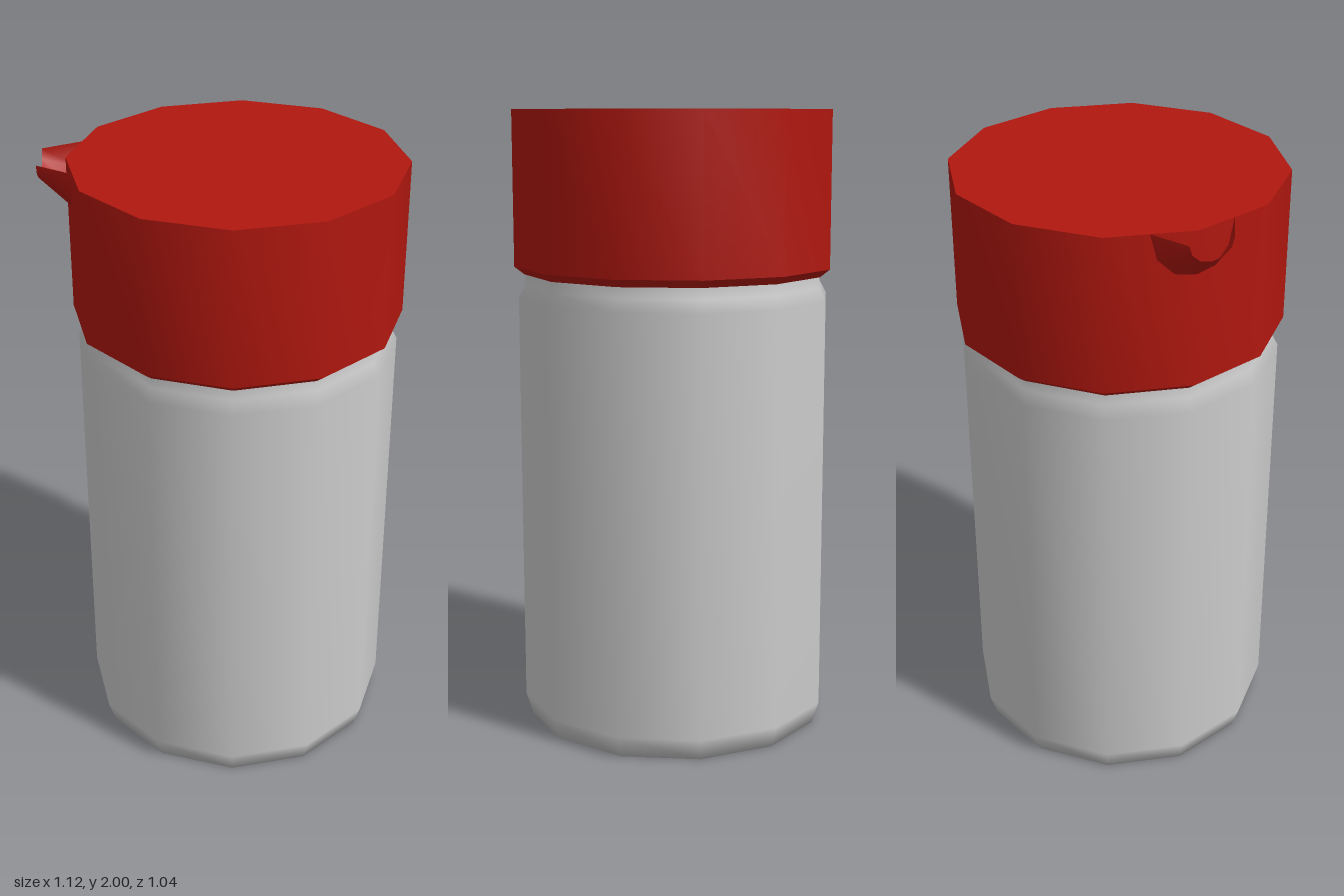
import * as THREE from 'three';
import { toCreasedNormals } from 'three/addons/utils/BufferGeometryUtils.js';
import { ParametricGeometry } from 'three/addons/geometries/ParametricGeometry.js';

const SIDES = 12;
const AXIS_X = 0.04; // the jar sits off centre to balance the spout

const lathe = (profile) =>
  new THREE.LatheGeometry(profile.map(([r, y]) => new THREE.Vector2(r, y)), SIDES);

export function createModel() {
  const group = new THREE.Group();
  group.name = 'shakerJar';
  const grey = new THREE.MeshStandardMaterial({ color: 0xcccccc });
  const red = new THREE.MeshStandardMaterial({ color: 0xb0170f });
  const redThin = new THREE.MeshStandardMaterial({ color: 0xb0170f, side: THREE.DoubleSide });

  const add = (name, geometry, material, x = 0) => {
    const mesh = new THREE.Mesh(geometry, material);
    mesh.name = name;
    mesh.position.x = x;
    group.add(mesh);
  };

  // Smooth body with bevelled foot and a narrow neck running up into the lid
  add('body', lathe([
    [0, 0], [0.485, 0], [0.507, 0.07], [0.507, 1.405], [0.485, 1.445], [0.485, 1.5],
  ]), grey, AXIS_X);

  // Lid with a chamfered lower rim and a flat, sharp-edged top
  add('lid', toCreasedNormals(lathe([
    [0.47, 1.48], [0.488, 1.48], [0.52, 1.505], [0.52, 2], [0, 2],
  ]), THREE.MathUtils.degToRad(35)), red, AXIS_X);

  // Open half-cone pouring spout, widening and deepening into the lid wall
  const spout = new ParametricGeometry((u, v, target) => {
    const angle = Math.PI * v;
    const halfWidth = THREE.MathUtils.lerp(0.07, 0.135, u);
    const depth = THREE.MathUtils.lerp(0.06, 0.17, u);
    target.set(
      THREE.MathUtils.lerp(-0.56, -0.44, u),
      2 - depth * Math.sin(angle),
      halfWidth * Math.cos(angle),
    );
  }, 1, 6);
  add('spout', spout, redThin);

  return group;
}
